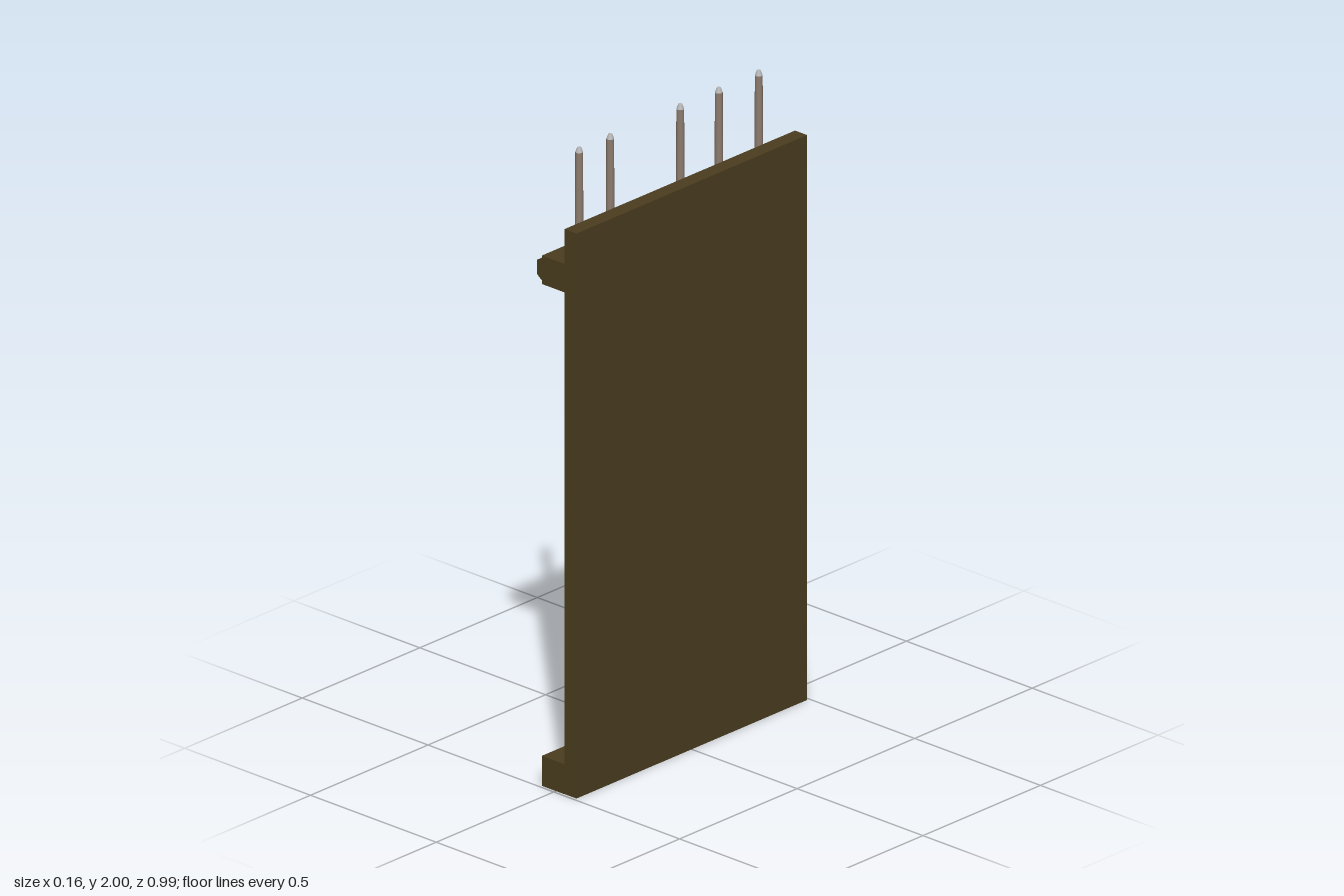
import * as THREE from 'three';

const mat = (color) => new THREE.MeshStandardMaterial({ color });
const wood = mat(0x4a3c1e);
const black = mat(0x1c1c1e);
const white = mat(0xcccccc);
const shaftWood = mat(0x8c7b6d);
const tipGrey = mat(0xb4b4b4);

function add(group, name, geometry, material, x, y, z) {
  const mesh = new THREE.Mesh(geometry, material);
  mesh.name = name;
  mesh.position.set(x, y, z);
  group.add(mesh);
  return mesh;
}

// Box given by its lower and upper corners
function block(group, name, a, b) {
  const s = b.map((v, i) => v - a[i]);
  const c = b.map((v, i) => (v + a[i]) / 2);
  return add(group, name, new THREE.BoxGeometry(...s), wood, ...c);
}

// One upright cue: stacked tapered sections, [name, y0, y1, r0, r1, material]
const sections = [
  ['bumper', 0.09, 0.122, 0.02, 0.023, black],
  ['buttSleeve', 0.122, 0.22, 0.024, 0.026, white],
  ['grip', 0.22, 1.3, 0.026, 0.0135, black],
  ['shaft', 1.3, 1.985, 0.0135, 0.0115, shaftWood],
  ['tip', 1.985, 2.0, 0.0115, 0.006, tipGrey],
];

function cue(x, z) {
  const group = new THREE.Group();
  group.name = 'cue';
  for (const [name, y0, y1, r0, r1, material] of sections) {
    add(group, name, new THREE.CylinderGeometry(r1, r0, y1 - y0, 16), material, 0, (y0 + y1) / 2, 0);
  }
  group.position.set(x, 0, z);
  return group;
}

export function createModel() {
  const model = new THREE.Group();
  model.name = 'cueRack';

  // Backboard and bottom ledge
  block(model, 'backboard', [0.033, 0, -0.491], [0.081, 1.79, 0.49]);
  block(model, 'bottomLedge', [-0.056, 0, -0.494], [0.034, 0.095, 0.491]);

  // Upper holder with one open hole, drawn in (x, -z) and raised along y
  const plan = new THREE.Shape([
    new THREE.Vector2(-0.056, -0.491), new THREE.Vector2(0.034, -0.491),
    new THREE.Vector2(0.034, 0.494), new THREE.Vector2(-0.056, 0.494),
  ]);
  const hole = new THREE.Path();
  hole.absarc(-0.012, 0.387, 0.019, 0, Math.PI * 2, true);
  plan.holes.push(hole);
  const holder = new THREE.ExtrudeGeometry(plan, { depth: 0.09, bevelEnabled: false, curveSegments: 16 });
  holder.rotateX(-Math.PI / 2);
  add(model, 'upperHolder', holder, wood, 0, 1.59, 0);

  // Chamfered rail along the front edge of the holder
  const profile = new THREE.Shape([
    new THREE.Vector2(-0.05, 1.596), new THREE.Vector2(-0.05, 1.668),
    new THREE.Vector2(-0.066, 1.666), new THREE.Vector2(-0.083, 1.656),
    new THREE.Vector2(-0.083, 1.612), new THREE.Vector2(-0.066, 1.598),
  ]);
  const rail = new THREE.ExtrudeGeometry(profile, { depth: 0.97, bevelEnabled: false });
  add(model, 'frontRail', rail, wood, 0, 0, -0.487);

  // Cues standing in the rack
  for (const z of [-0.387, -0.217, -0.053, 0.245, 0.377]) model.add(cue(-0.014, z));

  return model;
}
